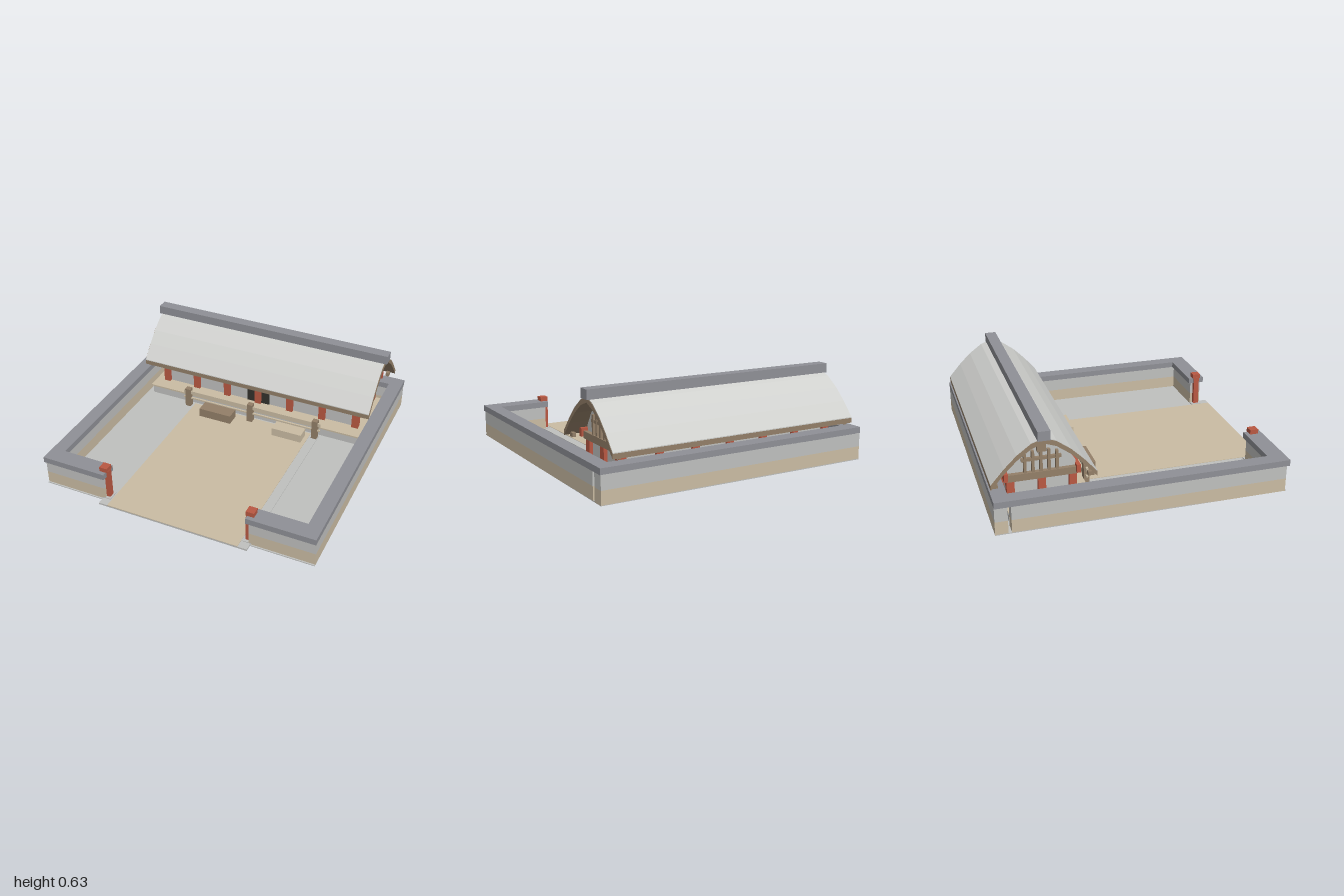
import * as THREE from 'three';

const mat = (name, color) => {
  const m = new THREE.MeshStandardMaterial({ color });
  m.name = name;
  return m;
};

export function createModel() {
  const g = new THREE.Group();
  g.name = 'walledHall';
  const plaster = mat('plaster grey', 0xbfc0be);
  const tile = mat('roof pale grey', 0xcfd0cd);
  const slate = mat('slate grey', 0x8f9096);
  const sand = mat('sand', 0xcabca3);
  const wood = mat('brown wood', 0x937f68);
  const red = mat('red timber', 0xb95842);
  const dark = mat('dark opening', 0x32312c);

  // Box given by its minimum and maximum on each axis
  const box = (name, m, x0, x1, y0, y1, z0, z1) => {
    const mesh = new THREE.Mesh(new THREE.BoxGeometry(x1 - x0, y1 - y0, z1 - z0), m);
    mesh.position.set((x0 + x1) / 2, (y0 + y1) / 2, (z0 + z1) / 2);
    mesh.name = name;
    g.add(mesh);
    return mesh;
  };
  // Same box on the left and right sides
  const pair = (name, m, x0, x1, ...rest) => {
    box(name, m, x0, x1, ...rest);
    box(name, m, -x1, -x0, ...rest);
  };
  // Profile of [z, y] points extruded along x, centred on cx
  const extrudeX = (name, m, pts, width, cx = 0) => {
    const shape = new THREE.Shape(pts.map(([z, y]) => new THREE.Vector2(-z, y)));
    const geo = new THREE.ExtrudeGeometry(shape, { depth: width, bevelEnabled: false });
    geo.rotateY(Math.PI / 2).translate(cx - width / 2, 0, 0);
    const mesh = new THREE.Mesh(geo, m);
    mesh.name = name;
    g.add(mesh);
  };

  // Ground and the path through the gate
  box('ground', plaster, -0.985, 0.985, 0.002, 0.008, -1, 0.95);
  box('pathSlab', plaster, -0.545, 0.545, 0.001, 0.013, -0.33, 1);
  box('path', sand, -0.48, 0.48, 0.01, 0.016, -0.33, 1);
  box('pathUnderside', sand, -0.48, 0.48, 0, 0.004, -0.45, 0.99);

  // Courtyard wall: sand footing, plaster upper part
  for (const [name, m, y0, y1] of [['wallFooting', sand, 0.002, 0.095], ['wallUpper', plaster, 0.095, 0.19]]) {
    pair(name, m, 0.905, 0.985, y0, y1, -0.895, 0.94);
    pair(name, m, 0.53, 0.905, y0, y1, 0.86, 0.94);
    box(name, m, -0.985, 0.985, y0, y1, -1, -0.917);
  }
  // Wall coping
  pair('wallCoping', slate, 0.892, 0.988, 0.188, 0.23, -1, 0.96);
  pair('wallCoping', slate, 0.515, 0.892, 0.188, 0.23, 0.84, 0.96);
  box('wallCoping', slate, -0.892, 0.892, 0.188, 0.23, -1, -0.9);

  // Gate posts
  pair('gatePostBase', plaster, 0.49, 0.55, 0, 0.018, 0.86, 0.94);
  pair('gatePost', red, 0.502, 0.542, 0.015, 0.235, 0.88, 0.92);
  pair('gatePostHead', red, 0.505, 0.562, 0.23, 0.262, 0.87, 0.93);

  // Platform and veranda deck
  box('platform', plaster, -0.86, 0.86, 0.005, 0.075, -0.89, -0.35);
  box('deck', sand, -0.87, 0.87, 0.075, 0.087, -0.895, -0.335);

  // Low fence and steps in front of the hall
  for (const x of [-0.52, 0, 0.52]) box('fencePost', wood, x - 0.021, x + 0.021, 0.005, 0.165, -0.32, -0.28);
  box('fenceRail', sand, -0.56, 0.56, 0.118, 0.145, -0.308, -0.294);
  box('fenceRail', sand, -0.56, 0.56, 0.075, 0.087, -0.308, -0.294);
  box('woodStep', wood, -0.375, -0.12, 0.01, 0.083, -0.29, -0.19);
  box('sandStep', sand, 0.22, 0.45, 0.01, 0.078, -0.29, -0.19);

  // Hall walls, columns and doors
  box('hallWall', plaster, -0.78, 0.78, 0.085, 0.31, -0.86, -0.46);
  for (let i = -3; i <= 3; i++) {
    for (const z of [-0.46, -0.86]) {
      const x = i * 0.26;
      box('column', red, x - 0.025, x + 0.025, 0.085, 0.28, z - 0.025, z + 0.025);
    }
  }
  pair('endColumn', red, 0.755, 0.805, 0.085, 0.28, -0.685, -0.635);
  pair('door', dark, 0.02, 0.09, 0.088, 0.243, -0.46, -0.452);

  // Long beams and gable tie beams
  box('frontBeam', red, -0.84, 0.84, 0.275, 0.33, -0.445, -0.418);
  box('backBeam', red, -0.84, 0.84, 0.275, 0.33, -0.905, -0.88);
  pair('tieBeam', wood, 0.77, 0.825, 0.265, 0.312, -0.89, -0.44);

  // Curved roof: wooden shell with a pale covering
  const zc = -0.665;
  const half = [[0.335, 0.305], [0.25, 0.403], [0.17, 0.482], [0.08, 0.548], [0, 0.578]];
  const arch = (dy, scale = 1) => [
    ...half.map(([z, y]) => [zc + z * scale, y + dy]),
    ...half.slice(0, -1).reverse().map(([z, y]) => [zc - z * scale, y + dy]),
  ];
  extrudeX('roofShell', wood, [...arch(0), ...arch(-0.034).reverse()], 1.815);
  extrudeX('roofCovering', tile, [...arch(0.005), ...arch(-0.001).reverse()], 1.81);
  box('ridge', slate, -0.925, 0.925, 0.568, 0.632, -0.705, -0.625);

  // Gable walls and their lattices
  const gable = [[-0.44, 0.3], [-0.44, 0.345], [-0.5, 0.44], [-0.585, 0.51], [zc, 0.548],
    [-0.745, 0.51], [-0.83, 0.44], [-0.89, 0.345], [-0.89, 0.3]];
  for (const s of [-1, 1]) {
    extrudeX('gableWall', plaster, gable, 0.02, s * 0.785);
    const lattice = (name, y0, y1, z0, z1, d) =>
      box(name, wood, s * 0.805 - d, s * 0.805 + d, y0, y1, z0, z1);
    lattice('latticeRail', 0.388, 0.408, -0.79, -0.535, 0.011);
    for (let i = -2; i <= 2; i++) {
      const z = zc + i * 0.051;
      lattice('latticeBar', 0.31, 0.47 - Math.abs(i) * 0.015, z - 0.009, z + 0.009, 0.015);
    }
    lattice('kingBlock', 0.45, 0.54, -0.69, -0.635, 0.025);
  }
  // Eave bracket ends
  for (const z of [-0.36, -0.97]) pair('eaveBracket', wood, 0.848, 0.872, 0.262, 0.29, z - 0.02, z + 0.02);

  return g;
}
